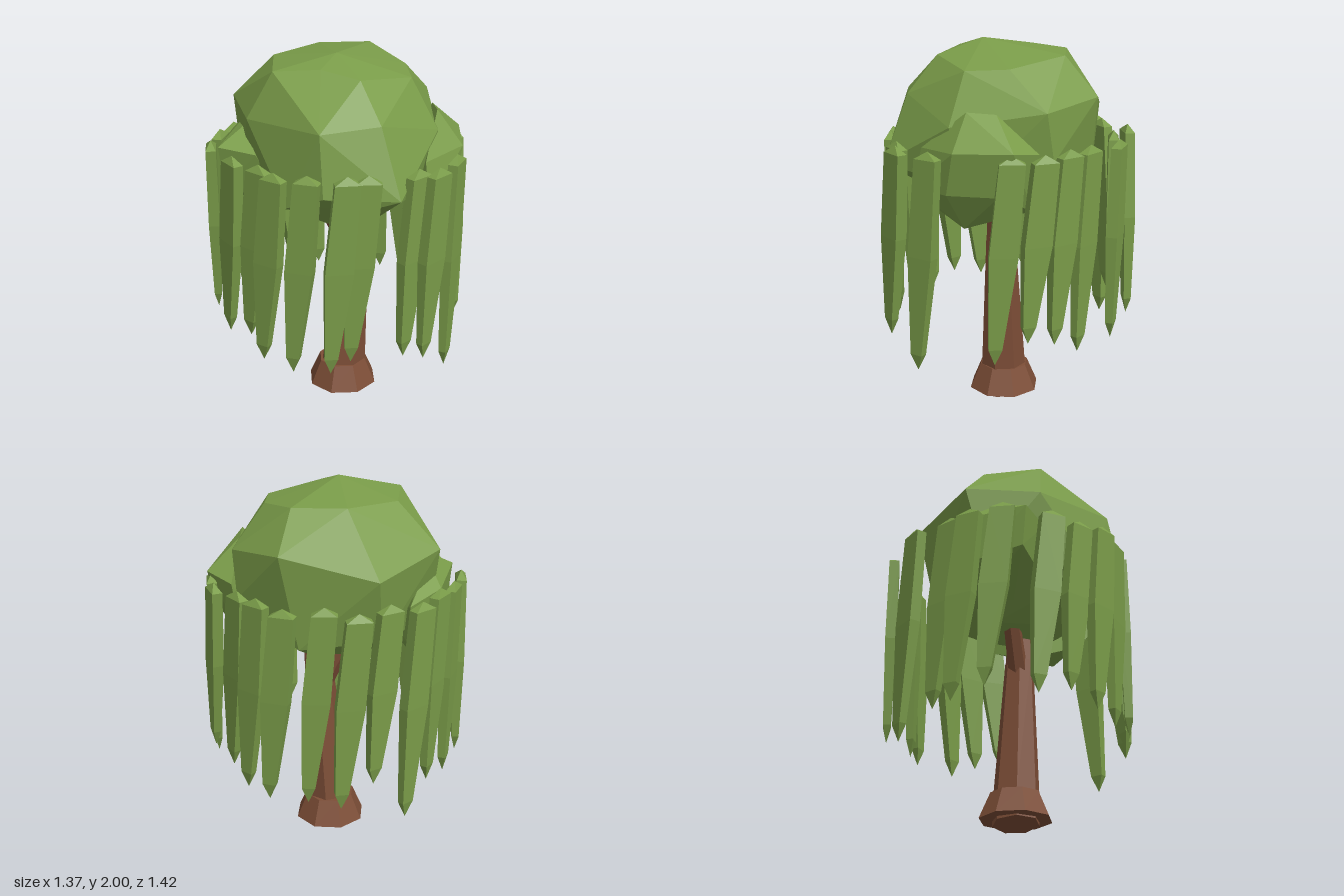
import * as THREE from 'three';
import { ConvexGeometry } from 'three/addons/geometries/ConvexGeometry.js';

const V = (x, y, z) => new THREE.Vector3(x, y, z);

export function createModel() {
  const tree = new THREE.Group();
  tree.name = 'willowTree';
  const leaf = new THREE.MeshStandardMaterial({ color: 0x7a9c49, flatShading: true });
  leaf.name = 'leafGreen';
  const bark = new THREE.MeshStandardMaterial({ color: 0x7d4e37, flatShading: true });
  bark.name = 'barkBrown';

  const add = (name, geometry, material, parent = tree) => {
    const mesh = new THREE.Mesh(geometry, material);
    mesh.name = name;
    parent.add(mesh);
    return mesh;
  };
  const hull = (name, points) => add(name, new ConvexGeometry(points.map(p => V(...p))), leaf);

  // Tapered limb between two points
  const limb = (name, from, to, r0, r1, sides) => {
    const dir = to.clone().sub(from);
    const mesh = add(name, new THREE.CylinderGeometry(r1, r0, dir.length(), sides), bark);
    mesh.position.copy(from).addScaledVector(dir, 0.5);
    mesh.quaternion.setFromUnitVectors(V(0, 1, 0), dir.normalize());
  };

  // Trunk, flared foot and forked branches
  limb('trunkEnd', V(0.006, 0.018, 0), V(0.013, 0.075, 0), 0.125, 0.125, 7);
  limb('rootFlare', V(0.01, 0.04, 0), V(0.01, 0.18, 0), 0.195, 0.135, 8);
  limb('trunk', V(0.015, 0.16, 0.005), V(0.065, 0.95, 0.035), 0.125, 0.08, 7);
  limb('upperTrunk', V(0.064, 0.92, 0.034), V(0.09, 1.25, 0.05), 0.08, 0.06, 7);
  limb('branch', V(0.05, 0.84, 0.03), V(-0.12, 1.25, -0.07), 0.055, 0.045, 6);

  // Main crown
  hull('crown', [
    [-0.07, 2.0, 0.09],
    [-0.4, 1.93, 0.04], [-0.27, 1.93, -0.25], [0.03, 1.94, -0.34], [0.29, 1.94, -0.24],
    [0.34, 1.89, 0.07], [0.26, 1.88, 0.28], [-0.06, 1.92, 0.34], [-0.2, 1.95, 0.18],
    [-0.53, 1.69, 0], [-0.45, 1.7, -0.39], [-0.06, 1.62, -0.57], [0.4, 1.74, -0.38],
    [0.55, 1.7, -0.06], [0.36, 1.62, 0.39], [-0.03, 1.73, 0.51], [-0.33, 1.71, 0.44],
    [0.01, 1.38, 0.65], [-0.34, 1.4, 0.5], [0.54, 1.45, -0.1],
    [-0.45, 1.3, 0.3], [-0.08, 1.35, 0.6], [0.4, 1.3, 0.3],
    [0.3, 1.24, -0.38], [-0.1, 1.28, -0.5], [-0.45, 1.3, -0.28],
    [-0.15, 1.1, 0.15], [0.15, 1.08, 0.15], [0.15, 1.1, -0.15], [-0.15, 1.08, -0.15],
  ]);

  // Side clumps
  hull('leftClump', [
    [0.4, 1.7, 0.31], [0.45, 1.69, 0.17], [0.64, 1.53, 0.14], [0.5, 1.52, 0.41],
    [0.23, 1.5, 0.5], [0.55, 1.5, -0.02], [0.57, 1.3, 0.2], [0.45, 1.3, 0.43],
    [0.23, 1.3, 0.55], [0.38, 1.1, 0.32], [0.3, 1.1, 0.15], [0.5, 1.2, 0], [0.2, 1.15, 0.4],
  ]);
  hull('rightClump', [
    [-0.48, 1.61, -0.15], [-0.44, 1.6, -0.28], [-0.65, 1.52, -0.11], [-0.45, 1.5, -0.42],
    [-0.25, 1.45, -0.5], [-0.5, 1.5, 0.03], [-0.62, 1.3, -0.12], [-0.5, 1.25, -0.33],
    [-0.25, 1.25, -0.48], [-0.35, 1.12, -0.1], [-0.35, 1.1, -0.3], [-0.35, 1.2, 0.1],
  ]);

  // Hanging fronds: plan start x, z, plan end x, z (the side it leans to), tip height
  const fronds = [
    [0.02, -0.69, 0.21, -0.66, 0.46], [-0.17, -0.59, 0.02, -0.63, 0.55],
    [-0.34, -0.59, -0.14, -0.67, 0.34], [0.15, -0.57, 0.34, -0.5, 0.44],
    [0.36, -0.54, 0.52, -0.42, 0.46], [-0.48, -0.42, -0.33, -0.54, 0.46],
    [-0.58, -0.33, -0.46, -0.48, 0.46], [-0.67, -0.17, -0.6, -0.35, 0.5],
    [0.46, -0.37, 0.57, -0.2, 0.43], [0.54, -0.24, 0.6, -0.06, 0.5],
    [0.64, -0.08, 0.65, 0.1, 0.55], [0.63, 0.08, 0.59, 0.26, 0.43],
    [0.47, 0.46, 0.3, 0.6, 0.34], [0.3, 0.61, 0.11, 0.68, 0.48],
    [0.19, 0.59, 0.02, 0.64, 0.5], [-0.06, 0.61, -0.26, 0.53, 0.49],
    [-0.17, 0.57, -0.35, 0.51, 0.43], [-0.36, 0.49, -0.49, 0.37, 0.41],
    [-0.5, 0.4, -0.6, 0.23, 0.45], [-0.53, 0.27, -0.61, 0.09, 0.53],
    [-0.62, 0.1, -0.65, -0.09, 0.48],
  ];
  const curtain = new THREE.Group();
  curtain.name = 'fronds';
  tree.add(curtain);
  for (const [ax, az, bx, bz, tip] of fronds) {
    const points = [V(-0.03, 1.52, 0), V(0.056, tip, 0)];
    // Each row: height, sideways centre, half width, half thickness
    for (const [y, c, w, t] of [
      [1.48, -0.03, 0.065, 0.027],
      [0.55 * 1.48 + 0.45 * tip, 0.013, 0.073, 0.03],
      [tip + 0.09, 0.054, 0.035, 0.02],
    ]) {
      for (const s of [-1, 1]) points.push(V(c + s * w, y, t), V(c + s * w, y, -t));
    }
    const frond = add('frond', new ConvexGeometry(points), leaf, curtain);
    frond.position.set((ax + bx) / 2, 0, (az + bz) / 2);
    frond.rotation.y = -Math.atan2(bz - az, bx - ax);
  }
  return tree;
}
